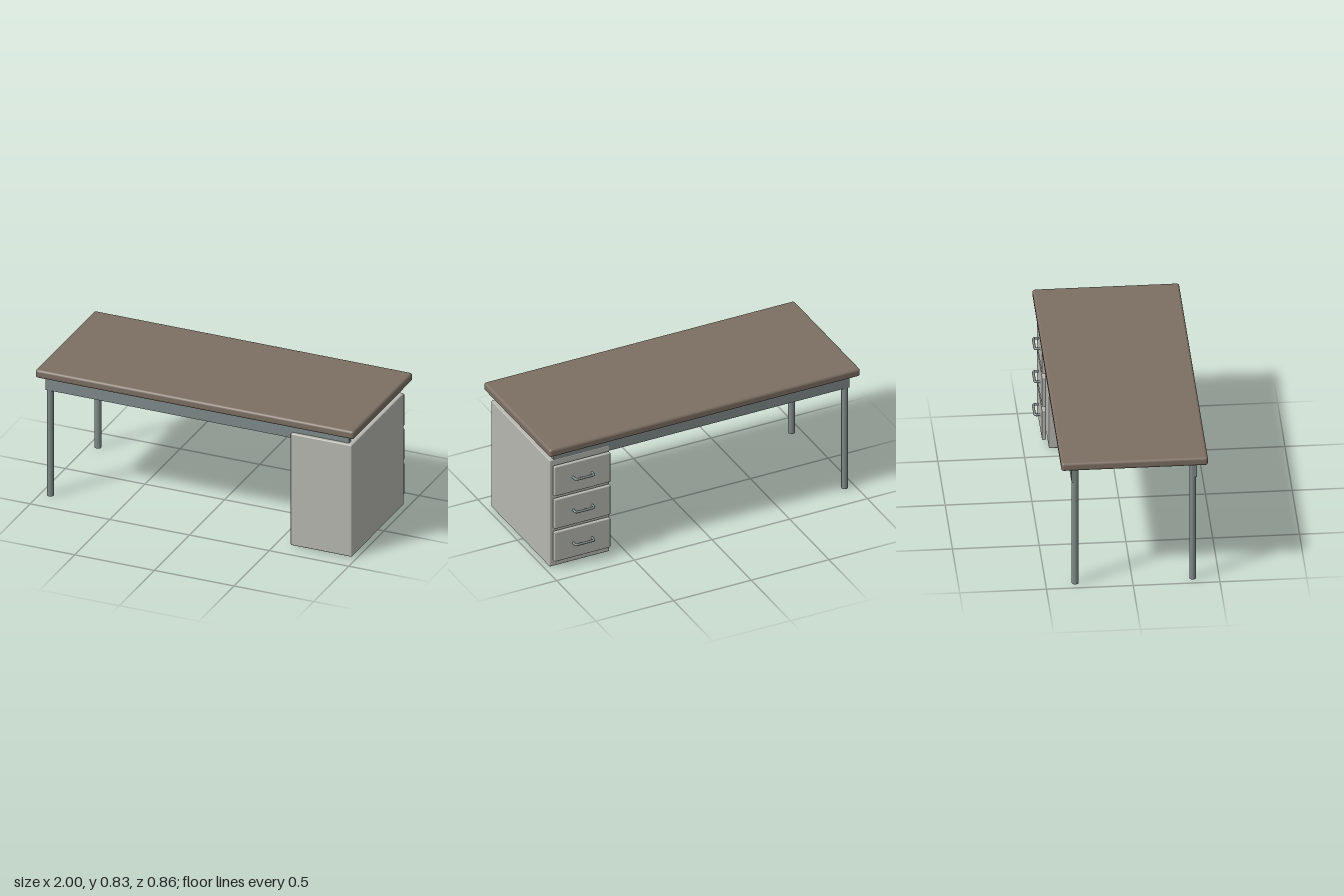
import * as THREE from 'three';
import { RoundedBoxGeometry } from 'three/addons/geometries/RoundedBoxGeometry.js';

const wood = new THREE.MeshStandardMaterial({ color: 0x7c6e62 });
const steel = new THREE.MeshStandardMaterial({ color: 0x7f8a89 });
const paint = new THREE.MeshStandardMaterial({ color: 0xb6b7b0 });

export function createModel() {
  const desk = new THREE.Group();
  desk.name = 'desk';

  const add = (name, geometry, material, x = 0, y = 0, z = 0, parent = desk) => {
    const mesh = new THREE.Mesh(geometry, material);
    mesh.name = name;
    mesh.position.set(x, y, z);
    parent.add(mesh);
    return mesh;
  };

  // Box given by its minimum and maximum on each axis, optionally rounded
  const addBox = (name, material, [x0, x1], [y0, y1], [z0, z1], radius = 0, parent = desk) => {
    const size = [x1 - x0, y1 - y0, z1 - z0];
    const geometry = radius
      ? new RoundedBoxGeometry(...size, 3, radius)
      : new THREE.BoxGeometry(...size);
    return add(name, geometry, material, (x0 + x1) / 2, (y0 + y1) / 2, (z0 + z1) / 2, parent);
  };

  // Worktop
  addBox('worktop', wood, [-1, 1], [0.776, 0.828], [-0.414, 0.432], 0.016);

  // Long rails under the worktop
  addBox('frontRail', steel, [-0.96, 0.945], [0.68, 0.776], [0.345, 0.37]);
  addBox('backRail', steel, [-0.96, 0.945], [0.68, 0.776], [-0.352, -0.327]);

  // Round legs at the open end
  const legGeometry = new THREE.CylinderGeometry(0.02, 0.02, 0.77, 24);
  add('frontLeg', legGeometry, steel, -0.94, 0.385, 0.348);
  add('backLeg', legGeometry, steel, -0.94, 0.385, -0.33);

  // Drawer cabinet
  addBox('cabinet', paint, [0.585, 0.97], [0.003, 0.718], [-0.353, 0.392], 0.007);

  // Bent rod handle
  const handlePath = new THREE.CurvePath();
  const v = (x, z) => new THREE.Vector3(x, 0, z);
  handlePath.add(new THREE.LineCurve3(v(-0.06, -0.392), v(-0.06, -0.412)));
  handlePath.add(new THREE.QuadraticBezierCurve3(v(-0.06, -0.412), v(-0.06, -0.423), v(-0.045, -0.423)));
  handlePath.add(new THREE.LineCurve3(v(-0.045, -0.423), v(0.045, -0.423)));
  handlePath.add(new THREE.QuadraticBezierCurve3(v(0.045, -0.423), v(0.06, -0.423), v(0.06, -0.412)));
  handlePath.add(new THREE.LineCurve3(v(0.06, -0.412), v(0.06, -0.392)));
  const handleGeometry = new THREE.TubeGeometry(handlePath, 48, 0.0075, 10);

  // Three drawers with handles
  for (let i = 0; i < 3; i++) {
    const drawer = new THREE.Group();
    drawer.name = `drawer${i + 1}`;
    drawer.position.y = 0.152 + i * 0.22;
    desk.add(drawer);
    addBox('drawerFront', paint, [0.597, 0.958], [-0.0985, 0.0985], [-0.392, -0.368], 0.006, drawer);
    add('drawerHandle', handleGeometry, steel, 0.7775, 0, 0, drawer);
  }

  return desk;
}
